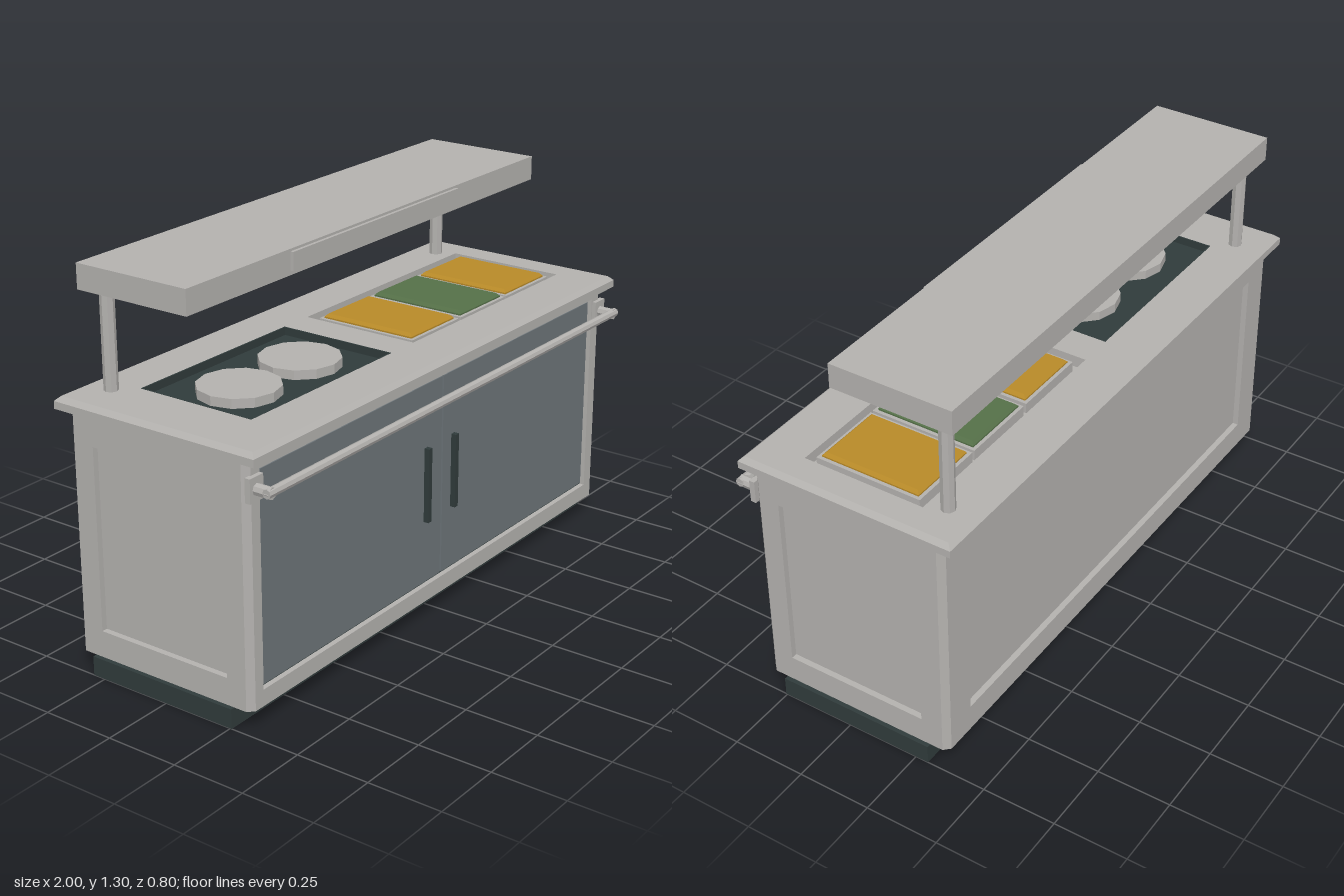
import * as THREE from 'three';

export function createModel() {
  const root = new THREE.Group();
  root.name = 'servingCounter';
  const mat = (name, color) => {
    const m = new THREE.MeshStandardMaterial({ color });
    m.name = name;
    return m;
  };
  const steel = mat('brushedSteel', 0xb3b1ae);
  const doorGrey = mat('doorGrey', 0x6c7478);
  const dark = mat('charcoal', 0x303b3b);
  const gold = mat('goldenFood', 0xb88a28);
  const green = mat('greenFood', 0x557048);

  const add = (name, geo, material, parent = root) => {
    const m = new THREE.Mesh(geo, material);
    m.name = name;
    parent.add(m);
    return m;
  };
  // Box given by its lower and upper limits
  const box = (name, x0, x1, y0, y1, z0, z1, material, parent) => {
    const m = add(name, new THREE.BoxGeometry(x1 - x0, y1 - y0, z1 - z0), material, parent);
    m.position.set((x0 + x1) / 2, (y0 + y1) / 2, (z0 + z1) / 2);
    return m;
  };
  const rect = (x0, x1, y0, y1, Type = THREE.Shape) => new Type([[x0, y0], [x1, y0], [x1, y1], [x0, y1]]
    .map(([x, y]) => new THREE.Vector2(x, y)));
  // Rectangular plate with rectangular holes, extruded along +z
  const frame = (outer, holes, depth, steps = 1) => {
    const s = rect(...outer);
    holes.forEach(h => s.holes.push(rect(...h, THREE.Path)));
    return new THREE.ExtrudeGeometry(s, { depth, steps, bevelEnabled: false });
  };
  // Faceted rod along y
  const rod = (name, r, len, sides, material, parent) => {
    const g = new THREE.CylinderGeometry(r, r, len, sides).toNonIndexed();
    g.computeVertexNormals();
    return add(name, g, material, parent);
  };

  // Plinth and cabinet core
  box('plinth', -1, 1, 0, 0.065, -0.295, 0.255, dark);
  box('cabinetCore', -0.965, 0.965, 0.065, 0.86, -0.34, 0.3, steel);

  // Raised frames leave recessed panels on the sides and back
  add('frontFrame', frame([-0.965, 0.965, 0.065, 0.86], [[-0.927, 0.922, 0.12, 0.825]], 0.02), steel)
    .position.z = 0.3;
  const back = add('backFrame', frame([-0.965, 0.965, 0.065, 0.86], [[-0.86, 0.86, 0.155, 0.765]], 0.02), steel);
  back.rotation.y = Math.PI;
  back.position.z = -0.34;
  for (const s of [1, -1]) {
    const g = s > 0
      ? frame([-0.3, 0.34, 0.065, 0.86], [[-0.23, 0.265, 0.155, 0.765]], 0.02)
      : frame([-0.34, 0.3, 0.065, 0.86], [[-0.265, 0.23, 0.155, 0.765]], 0.02);
    const side = add('sideFrame', g, steel);
    side.rotation.y = s * Math.PI / 2;
    side.position.x = s * 0.965;
    // Chamfered corner strips
    for (const [z, d] of [[0.3, 1], [-0.34, -1]]) {
      const tri = new THREE.Shape([[0, 0], [s * 0.02, 0], [0, -d * 0.02]].map(([x, y]) => new THREE.Vector2(x, y)));
      const strip = add('cornerStrip', new THREE.ExtrudeGeometry(tri, { depth: 0.795, bevelEnabled: false }), steel);
      strip.rotation.x = -Math.PI / 2;
      strip.position.set(s * 0.965, 0.065, z);
    }
  }

  // Doors and handles
  box('doorGap', -0.927, 0.922, 0.12, 0.825, 0.3, 0.302, dark);
  box('leftDoor', 0.015, 0.914, 0.128, 0.815, 0.3, 0.309, doorGrey);
  box('rightDoor', -0.919, 0.007, 0.128, 0.815, 0.3, 0.309, doorGrey);
  for (const x of [-0.08, 0.072]) box('doorHandle', x - 0.009, x + 0.009, 0.345, 0.6, 0.305, 0.327, dark);

  // Countertop with two wells and a chamfered upper edge
  const zB = -0.235, zF = 0.19;
  const hob = [-0.8, -0.105], pans = [0.015, 0.895];
  const top = frame([-1, 1, -0.36, 0.4], [[...hob, -zF, -zB], [...pans, -zF, -zB]], 0.04, 2);
  const p = top.attributes.position;
  for (let i = 0; i < p.count; i++) {
    const x = p.getX(i), y = p.getY(i), z = p.getZ(i);
    if (z > 0.03) {
      if (Math.abs(x) > 0.99) p.setX(i, Math.sign(x) * 0.984);
      if (y > 0.39) p.setY(i, 0.384);
      if (y < -0.35) p.setY(i, -0.344);
    } else if (z > 0.01) p.setZ(i, 0.025);
  }
  top.computeVertexNormals();
  const counter = add('countertop', top, steel);
  counter.rotation.x = -Math.PI / 2;
  counter.position.y = 0.86;

  // Hob well with burners
  box('hobFloor', ...hob, 0.86, 0.874, zB, zF, dark);
  const liner = add('hobLiner',
    frame([...hob, -zF, -zB], [[hob[0] + 0.005, hob[1] - 0.005, -zF + 0.005, -zB - 0.005]], 0.0405), dark);
  liner.rotation.x = -Math.PI / 2;
  liner.position.y = 0.86;
  for (const x of [-0.602, -0.304]) rod('burner', 0.134, 0.031, 12, steel).position.set(x, 0.8895, -0.018);

  // Food pans
  [[0.175, gold], [0.457, green], [0.735, gold]].forEach(([x, m]) => {
    const pan = new THREE.Group();
    pan.name = 'foodPan';
    pan.position.set(x, 0.86, -0.018);
    root.add(pan);
    const rim = add('panRim', frame([-0.134, 0.134, -0.186, 0.186], [[-0.122, 0.122, -0.174, 0.174]], 0.035), steel, pan);
    rim.rotation.x = -Math.PI / 2;
    const food = add('food', new THREE.ExtrudeGeometry(rect(-0.112, 0.112, -0.164, 0.164),
      { depth: 0.03, bevelThickness: 0.01, bevelSize: 0.01, bevelSegments: 1 }), m, pan);
    food.rotation.x = -Math.PI / 2;
    food.position.y = 0.01;
  });

  // Front rail on wall plates
  const rail = rod('frontRail', 0.015, 1.95, 8, steel);
  rail.rotation.z = Math.PI / 2;
  rail.position.set(0, 0.778, 0.383);
  for (const s of [1, -1]) {
    box('railPlate', s * 0.957 - 0.03, s * 0.957 + 0.03, 0.738, 0.815, 0.315, 0.334, steel);
    const arm = rod('railArm', 0.019, 0.07, 8, steel);
    arm.rotation.x = Math.PI / 2;
    arm.position.set(s * 0.957, 0.776, 0.355);
  }

  // Overhead canopy on two posts
  box('canopy', -0.918, 0.918, 1.218, 1.3, -0.36, 0.06, steel);
  box('canopyPlate', -0.443, 0.441, 1.232, 1.292, 0.055, 0.071, steel);
  for (const s of [1, -1]) rod('canopyPost', 0.023, 0.33, 8, steel).position.set(s * 0.86, 1.055, -0.298);

  return root;
}
